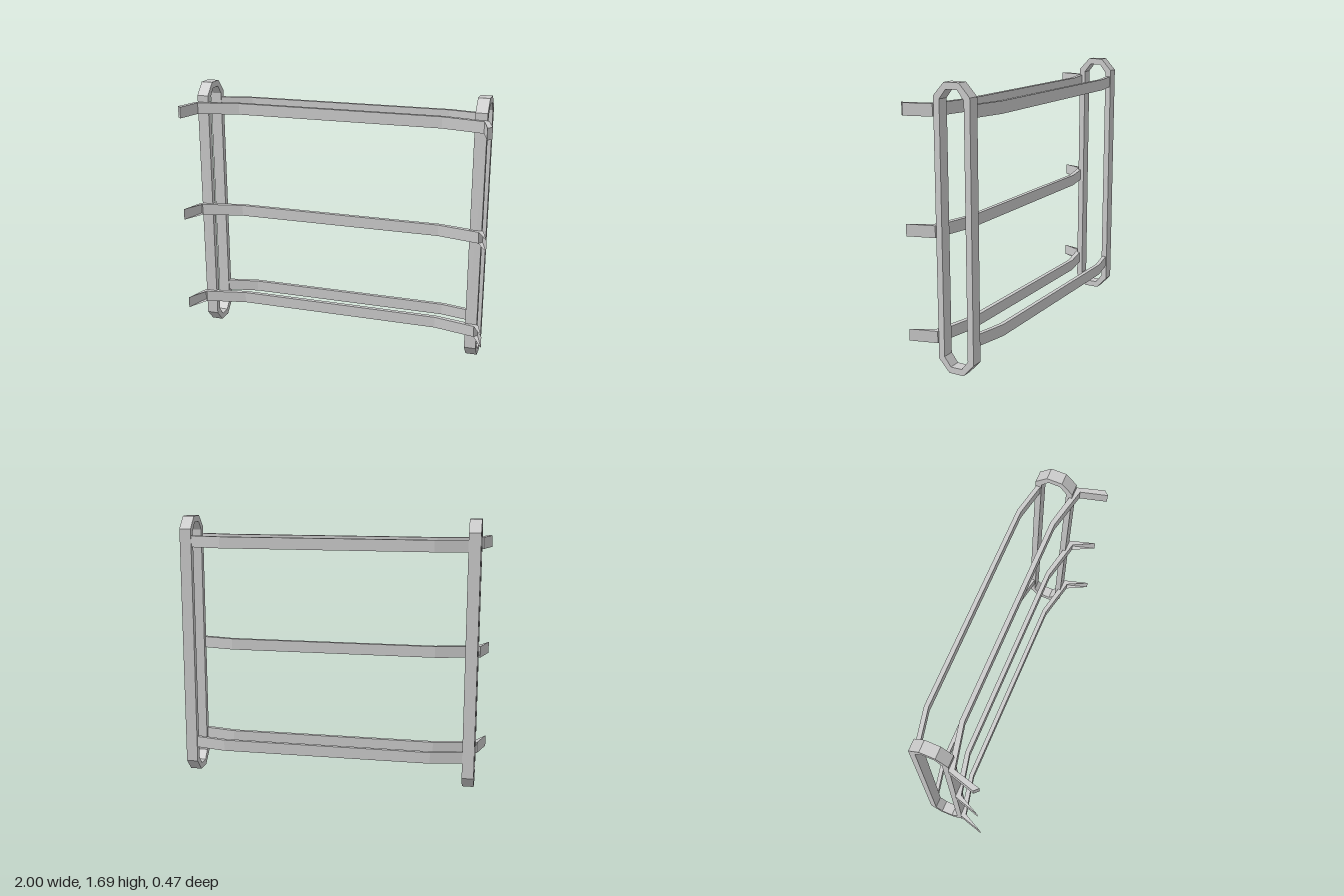
import * as THREE from 'three';

const grey = new THREE.MeshStandardMaterial({ color: 0xcccccc, flatShading: true });
const open = new THREE.MeshStandardMaterial({ color: 0xcccccc, flatShading: true, side: THREE.DoubleSide });
const BAR = 0.072; // bar height

function add(parent, name, geometry, material = grey) {
  const mesh = new THREE.Mesh(geometry, material);
  mesh.name = name;
  parent.add(mesh);
  return mesh;
}

const toPoints = (list) => list.map(([a, b]) => new THREE.Vector2(a, b));

// Long octagon in the (-z, y) plane: half width, half height, corner cut
function octagon(w, h, cw, ch) {
  const cx = 0.081, cy = 0.843;
  return toPoints([
    [-w, -h + ch], [-w + cw, -h], [w - cw, -h], [w, -h + ch],
    [w, h - ch], [w - cw, h], [-w + cw, h], [-w, h - ch],
  ].map(([a, b]) => [cx + a, cy + b]));
}

// Upright loop with one long opening
function uprightGeometry() {
  const shape = new THREE.Shape(octagon(0.119, 0.843, 0.071, 0.077));
  shape.holes.push(new THREE.Path(octagon(0.08, 0.804, 0.043, 0.055)));
  const g = new THREE.ExtrudeGeometry(shape, { depth: 0.074, bevelEnabled: false });
  return g.rotateY(Math.PI / 2);
}

// Bar from the right half of its plan: back edge and front edge as (x, z), centre outwards
function barGeometry(back, front) {
  const mirror = (list) => list.map(([x, z]) => [-x, z]).reverse();
  const outline = [
    ...mirror(front), ...front, ...[...back].reverse(), ...mirror(back).reverse(),
  ].map(([x, z]) => [x, -z]);
  const shape = new THREE.Shape(toPoints(outline));
  const g = new THREE.ExtrudeGeometry(shape, { depth: BAR, bevelEnabled: false });
  return g.rotateX(-Math.PI / 2);
}

// Open hook: outer plate with a tapering triangle above and below
function hookGeometry(side) {
  const plan = [[0.952, 0.038], [0.93, 0.068], [1, 0.205]];
  const pos = [0, BAR].flatMap((y) => plan.flatMap(([x, z]) => [side * x, y, z]));
  const g = new THREE.BufferGeometry();
  g.setAttribute('position', new THREE.Float32BufferAttribute(pos, 3));
  const faces = [0, 2, 1, 3, 4, 5, 0, 3, 5, 0, 5, 2];
  if (side < 0) faces.reverse();
  g.setIndex(faces);
  g.computeVertexNormals();
  return g;
}

export function createModel() {
  const model = new THREE.Group();
  model.name = 'wallRack';

  // Two upright loops
  for (const side of [-1, 1]) {
    const upright = add(model, side > 0 ? 'leftUpright' : 'rightUpright', uprightGeometry());
    upright.position.x = side * 0.906 - 0.037;
  }

  // Bowed bars behind the uprights
  const rearBack = [[0.67, -0.236], [0.9, -0.187]];
  const rearFront = [[0.665, -0.21], [0.9, -0.161]];
  for (const [name, y] of [['lowerRearBar', 0.173], ['upperRearBar', 1.494]]) {
    add(model, name, barGeometry(rearBack, rearFront)).position.y = y;
  }

  // Bowed bars at the front
  const back = [[0.67, -0.02], [0.952, 0.038]];
  const front = [[0.665, 0.008], [0.93, 0.068]];

  // The upper one ends in closed hooks
  const upper = barGeometry([...back, [1, 0.205]], [...front, [0.973, 0.232]]);
  add(model, 'upperFrontBar', upper).position.y = 1.494;

  // The others end in open hooks
  for (const [name, y] of [['lowerFrontBar', 0.173], ['middleFrontBar', 0.805]]) {
    const group = new THREE.Group();
    group.name = name;
    group.position.y = y;
    add(group, 'bar', barGeometry(back, front));
    add(group, 'leftHook', hookGeometry(1), open);
    add(group, 'rightHook', hookGeometry(-1), open);
    model.add(group);
  }
  return model;
}
